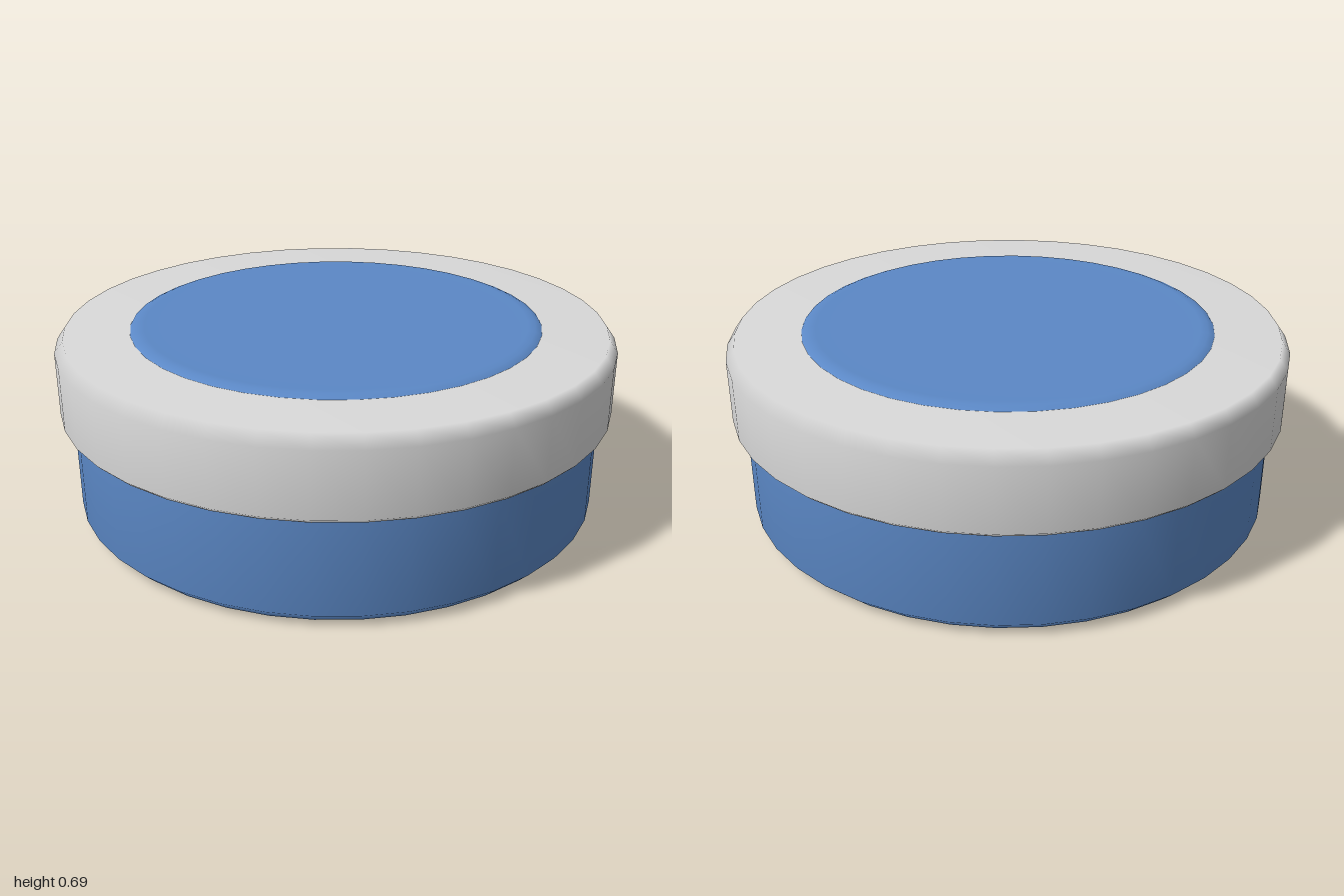
import * as THREE from 'three';

const SEGMENTS = 40;

// Turned part from a profile of [radius, height] pairs, listed bottom to top
function turned(name, profile, material) {
  const points = profile.map(([r, y]) => new THREE.Vector2(r, y));
  const mesh = new THREE.Mesh(new THREE.LatheGeometry(points, SEGMENTS), material);
  mesh.name = name;
  return mesh;
}

export function createModel() {
  const blue = new THREE.MeshStandardMaterial({ color: 0x5b88c6 });
  blue.name = 'blue';
  const silver = new THREE.MeshStandardMaterial({ color: 0xd9d9d9 });
  silver.name = 'silver';

  const tin = new THREE.Group();
  tin.name = 'roundTin';

  // Body with a chamfered foot, running up inside the lid
  tin.add(turned('body', [
    [0, 0], [0.88, 0], [0.915, 0.005], [0.955, 0.045], [0.955, 0.36], [0.955, 0.42],
  ], blue));

  // Lid with a small lower lip and a bevelled shoulder
  tin.add(turned('lid', [
    [0, 0.39], [0.94, 0.39], [0.985, 0.39], [1, 0.405], [1, 0.63], [0.97, 0.672], [0, 0.675],
  ], silver));

  // Raised panel on the lid, with a rolled edge and a very shallow dip
  tin.add(turned('lidPanel', [
    [0.742, 0.668], [0.735, 0.676], [0.715, 0.684], [0.69, 0.685], [0.63, 0.683], [0, 0.683],
  ], blue));

  return tin;
}
